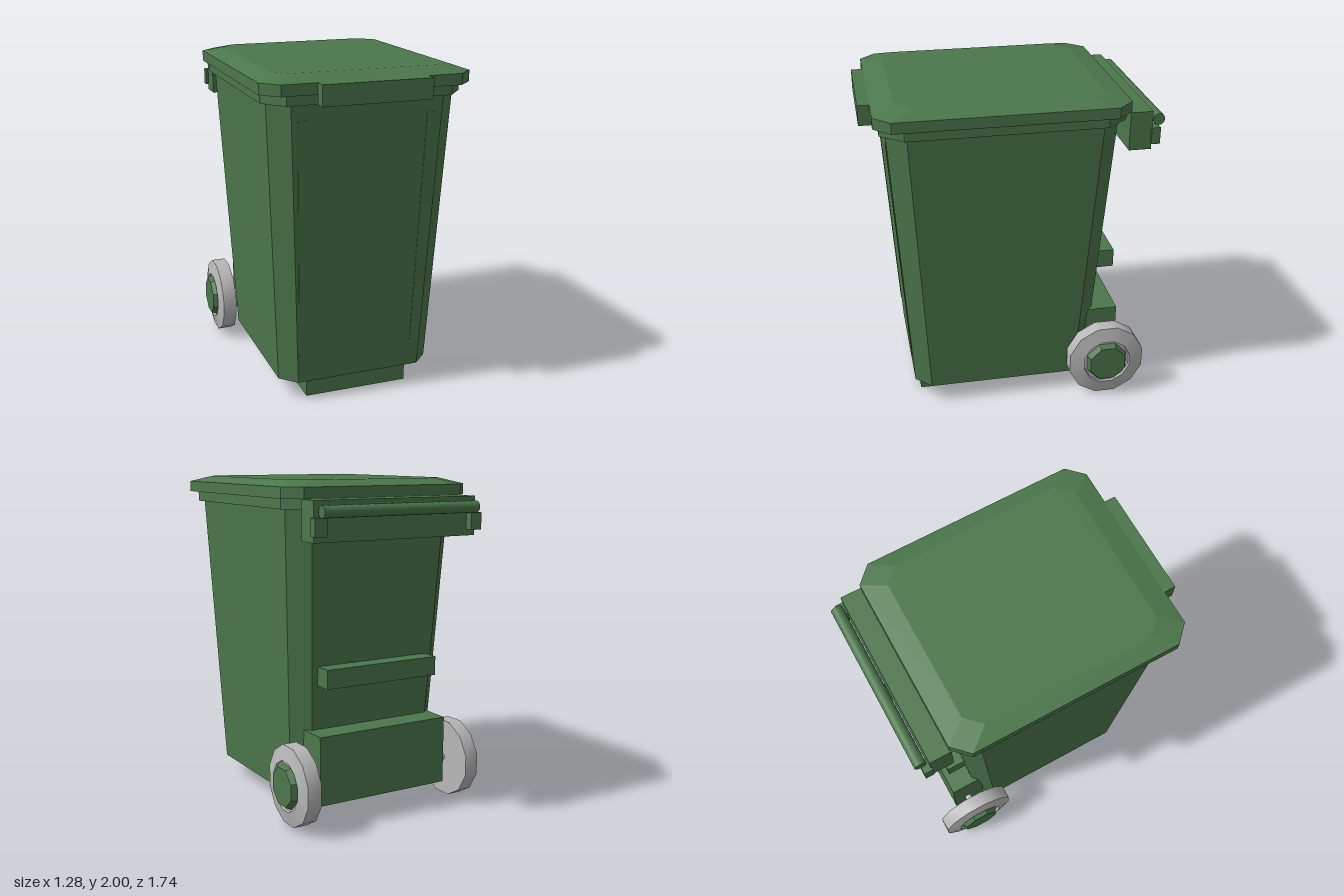
import * as THREE from 'three';
import { toCreasedNormals } from 'three/addons/utils/BufferGeometryUtils.js';

// Closed solid through stacked rings of [x, y, z]; each ring runs anticlockwise seen from above
function loft(rings) {
  const n = rings[0].length, last = rings.length - 1, pos = [];
  const tri = (a, b, c) => pos.push(...a, ...b, ...c);
  for (let i = 0; i < last; i++) {
    for (let j = 0; j < n; j++) {
      const k = (j + 1) % n;
      tri(rings[i][j], rings[i][k], rings[i + 1][k]);
      tri(rings[i][j], rings[i + 1][k], rings[i + 1][j]);
    }
  }
  for (let j = 1; j < n - 1; j++) {
    tri(rings[last][0], rings[last][j], rings[last][j + 1]);
    tri(rings[0][0], rings[0][j + 1], rings[0][j]);
  }
  const geo = new THREE.BufferGeometry();
  geo.setAttribute('position', new THREE.Float32BufferAttribute(pos, 3));
  geo.computeVertexNormals();
  return geo;
}

// Rectangle with cut corners: half width, front z, back z, corner cuts in x and z
function ring(y, hx, zf, zb, cx, cz) {
  const ix = hx - cx;
  return [
    [hx, y, zf - cz], [hx, y, zb + cz], [ix, y, zb], [-ix, y, zb],
    [-hx, y, zb + cz], [-hx, y, zf - cz], [-ix, y, zf], [ix, y, zf],
  ];
}

export function createModel() {
  const model = new THREE.Group();
  const green = new THREE.MeshStandardMaterial({ color: 0x4c774c });
  green.name = 'binGreen';
  const grey = new THREE.MeshStandardMaterial({ color: 0xb8b8b8 });
  grey.name = 'wheelGrey';

  const add = (name, geo, mat = green, parent = model) => {
    const mesh = new THREE.Mesh(geo, mat);
    mesh.name = name;
    parent.add(mesh);
    return mesh;
  };
  // Box from its lower and upper limits on each axis
  const box = (name, x0, x1, y0, y1, z0, z1) =>
    add(name, new THREE.BoxGeometry(x1 - x0, y1 - y0, z1 - z0))
      .position.set((x0 + x1) / 2, (y0 + y1) / 2, (z0 + z1) / 2);

  // Tapered body, rim and bevelled lid
  add('body', loft([
    ring(0.12, 0.485, 0.62, -0.49, 0.095, 0.095),
    ring(1.84, 0.565, 0.73, -0.61, 0.11, 0.11),
  ]));
  add('rim', loft([
    ring(1.84, 0.6, 0.765, -0.645, 0.11, 0.13),
    ring(1.9, 0.6, 0.765, -0.645, 0.11, 0.13),
  ]));
  add('lid', loft([
    ring(1.9, 0.627, 0.8, -0.663, 0.095, 0.095),
    ring(1.965, 0.627, 0.8, -0.663, 0.095, 0.095),
    ring(2.0, 0.525, 0.67, -0.53, 0.09, 0.09),
  ]));
  box('lidGrip', -0.325, 0.325, 1.845, 1.965, 0.795, 0.868);

  // Front foot and rear blocks
  box('frontFoot', -0.325, 0.325, 0, 0.125, 0.35, 0.58);
  box('axleHousing', -0.44, 0.44, 0.13, 0.545, -0.675, -0.46);
  box('rearRib', -0.38, 0.38, 0.815, 0.93, -0.655, -0.5);
  box('hingeBlock', -0.545, 0.545, 1.67, 1.9, -0.787, -0.655);

  // Handle bar
  const bar = new THREE.CylinderGeometry(0.035, 0.035, 1.04, 16).rotateZ(Math.PI / 2);
  add('handleBar', bar).position.set(0, 1.84, -0.833);

  // Raised strips that follow the slope of the front
  const stripRing = (y, xa, xb) => {
    const z = 0.62 + 0.11 * (y - 0.12) / 1.72;
    return [[xb, y, z + 0.004], [xb, y, z - 0.004], [xa, y, z - 0.004], [xa, y, z + 0.004]];
  };

  // Axle, wheel and hub, turned about the x axis
  const axle = new THREE.CylinderGeometry(0.022, 0.022, 1.06, 12).rotateZ(Math.PI / 2);
  add('axle', axle, grey).position.set(0, 0.255, -0.578);
  const profile = [[0, 0.51], [0.243, 0.51], [0.243, 0.598], [0.152, 0.618], [0.148, 0.603], [0, 0.603]]
    .map(([r, h]) => new THREE.Vector2(r, h));
  const wheelGeo = toCreasedNormals(
    new THREE.LatheGeometry(profile, 12, Math.PI / 12).rotateZ(-Math.PI / 2), 0.6);
  const hubGeo = toCreasedNormals(
    new THREE.CylinderGeometry(0.12, 0.138, 0.04, 8, 1, false, Math.PI / 8)
      .rotateZ(-Math.PI / 2).translate(0.62, 0, 0), 0.3);

  for (const s of [1, -1]) {
    const side = s > 0 ? 'left' : 'right';
    const x = (a, b) => (s > 0 ? [a, b] : [-b, -a]);
    add(side + 'FrontStrip', loft([
      stripRing(0.295, ...x(0.332, 0.388)),
      stripRing(1.745, ...x(0.36, 0.415)),
    ]));
    box(side + 'HandleBracket', ...x(0.485, 0.56), 1.705, 1.805, -0.833, -0.78);

    const wheel = new THREE.Group();
    wheel.name = side + 'Wheel';
    wheel.position.set(0, 0.255, -0.578);
    wheel.rotation.y = s > 0 ? 0 : Math.PI;
    add(side + 'Tyre', wheelGeo, grey, wheel);
    add(side + 'Hub', hubGeo, green, wheel);
    model.add(wheel);
  }
  return model;
}
